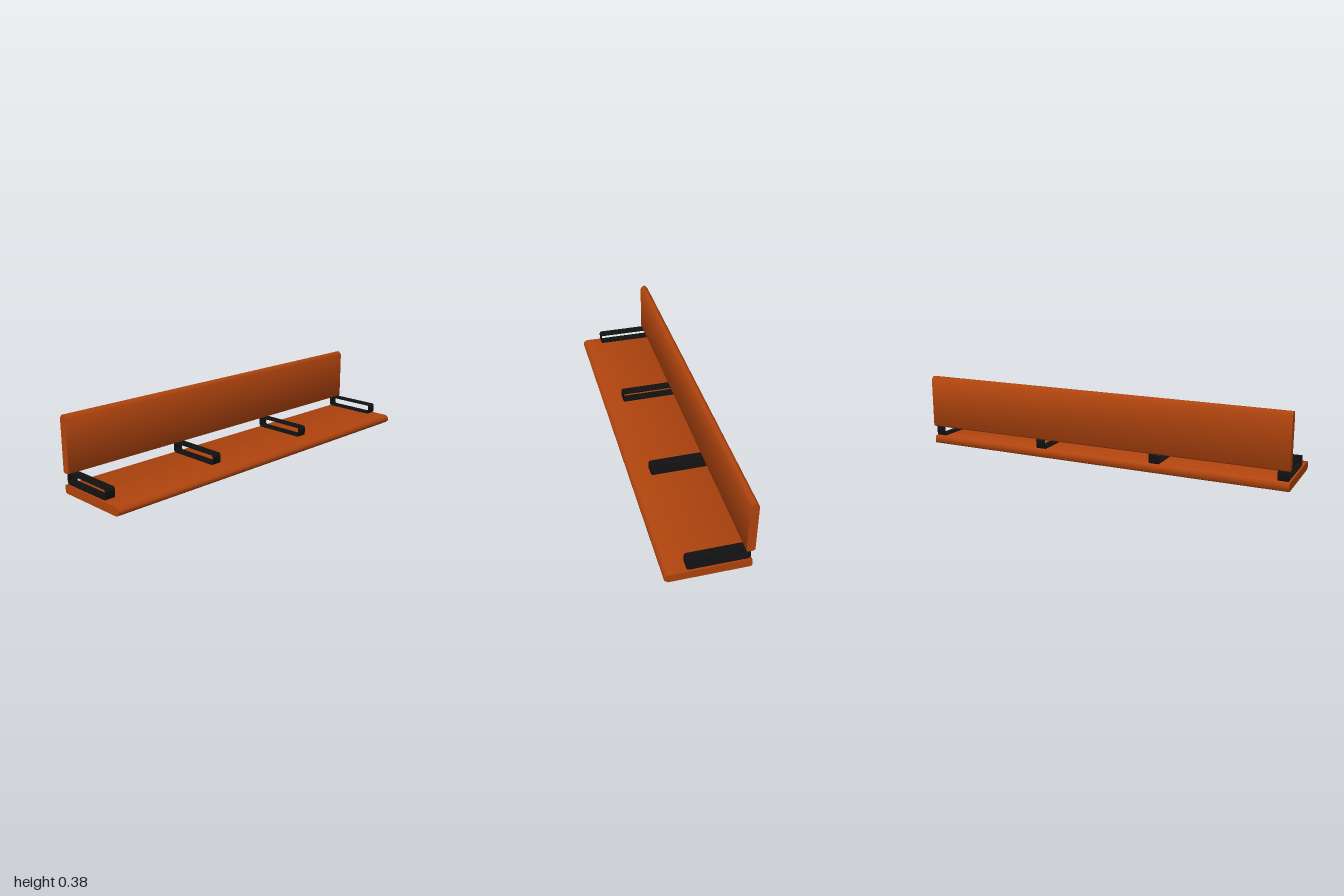
import * as THREE from 'three';
import { toCreasedNormals } from 'three/addons/utils/BufferGeometryUtils.js';

const wood = new THREE.MeshStandardMaterial({ color: 0xb0440e });
const metal = new THREE.MeshStandardMaterial({ color: 0x111111 });

// Extrude a side profile (shape x = -z of the model) along x, centred on x = 0
function extrudeAlongX(shape, width) {
  const geo = new THREE.ExtrudeGeometry(shape, { depth: width, bevelEnabled: false, curveSegments: 5 });
  geo.translate(0, 0, -width / 2).rotateY(Math.PI / 2);
  return toCreasedNormals(geo, 0.9);
}

// Plank section: rounded at the start, bevelled to a blunt nose at the far end
function plankShape(length, thick) {
  const r = 0.01, bevel = 0.017, nose = 0.0145;
  const s = new THREE.Shape();
  s.moveTo(r, 0);
  s.lineTo(length - bevel, 0);
  s.lineTo(length, nose);
  s.lineTo(length, thick - nose);
  s.lineTo(length - bevel, thick);
  s.lineTo(r, thick);
  s.absarc(r, thick - r, r, Math.PI / 2, Math.PI, false);
  s.absarc(r, r, r, Math.PI, Math.PI * 1.5, false);
  return s;
}

function roundedRect(path, x0, y0, x1, y1, r) {
  path.moveTo(x0 + r, y0);
  path.absarc(x1 - r, y0 + r, r, -Math.PI / 2, 0, false);
  path.absarc(x1 - r, y1 - r, r, 0, Math.PI / 2, false);
  path.absarc(x0 + r, y1 - r, r, Math.PI / 2, Math.PI, false);
  path.absarc(x0 + r, y0 + r, r, Math.PI, Math.PI * 1.5, false);
  return path;
}

export function createModel() {
  const group = new THREE.Group();
  const add = (name, geo, mat, x = 0) => {
    const mesh = new THREE.Mesh(geo, mat);
    mesh.name = name;
    mesh.position.x = x;
    group.add(mesh);
  };

  // Lower plank, nose to the front
  const seat = extrudeAlongX(plankShape(0.409, 0.044), 2);
  seat.rotateY(Math.PI).translate(0, 0.001, -0.2);
  add('seatPlank', seat, wood);

  // Upright plank at the back, nose upward
  const back = extrudeAlongX(plankShape(0.282, 0.042), 2);
  back.rotateX(Math.PI / 2).translate(0, 0.1, -0.207);
  add('backPlank', back, wood);

  // Flat-bar loop brackets between the planks
  const loop = roundedRect(new THREE.Shape(), -0.106, 0.046, 0.192, 0.101, 0.013);
  loop.holes.push(roundedRect(new THREE.Path(), -0.101, 0.051, 0.187, 0.096, 0.008));
  const bracket = extrudeAlongX(loop, 0.05);
  for (let i = 0; i < 4; i++) add('bracket' + (i + 1), bracket, metal, -0.966 + i * 0.644);

  return group;
}
